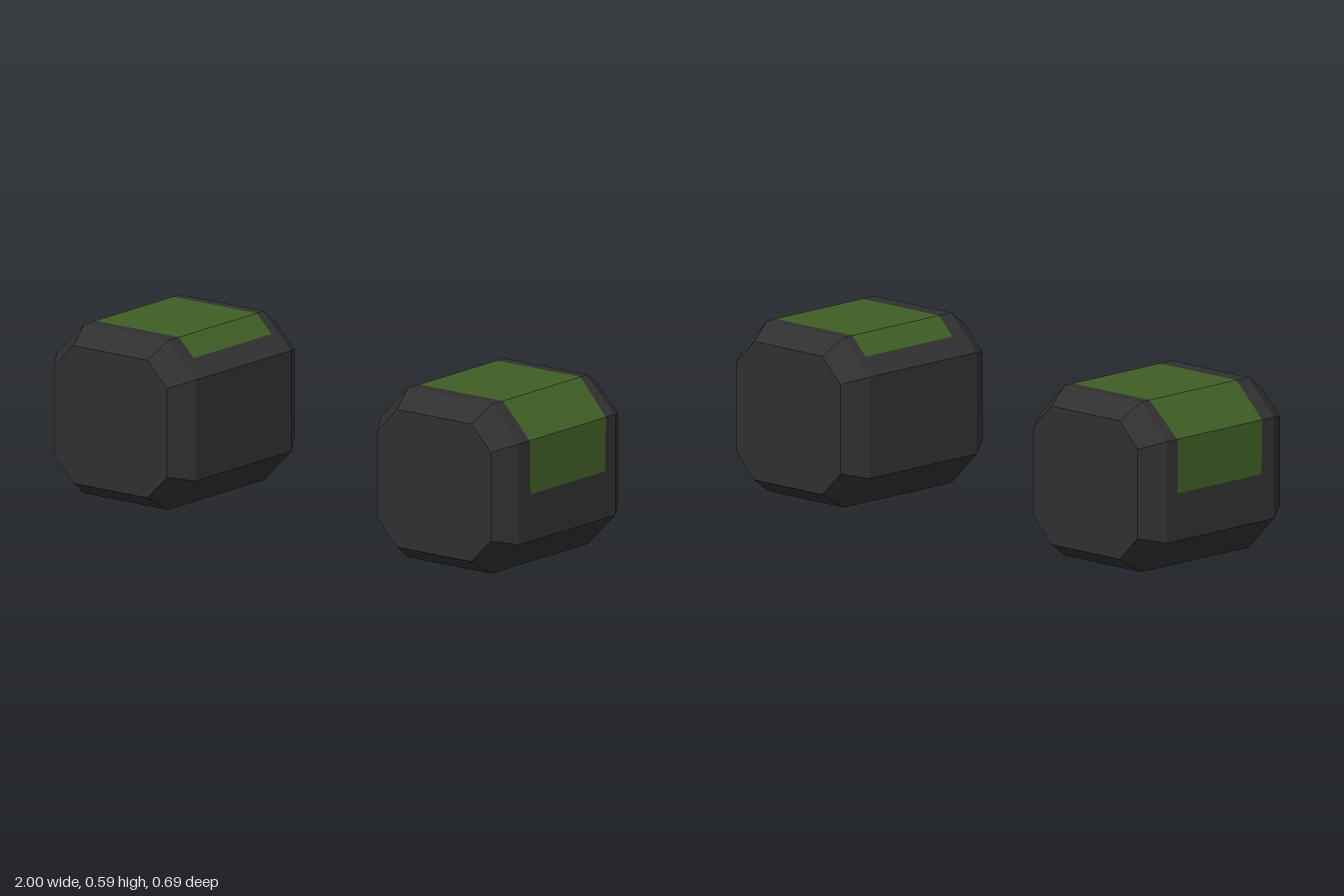
import * as THREE from 'three';

// Ten-point outline of a bevelled block: an octagon plus the two corners where the pad ends.
function outline(hx, hy, c, side) {
  const t = 0.53;
  const pts = [
    [hx, -0.012], [hx, hy - c], [hx - c, hy], [-hx + c, hy],
    [-hx + c - t * c, hy - t * c], [-hx, hy - c], [-hx, -hy + c],
    [-hx + c, -hy], [hx - c, -hy], [hx, -hy + c],
  ];
  return pts.map(([x, y]) => [x * side, y]);
}

// Flat-shaded geometry from a plain list of corners.
function faceted(corners) {
  const g = new THREE.BufferGeometry();
  g.setAttribute('position', new THREE.Float32BufferAttribute(corners.flat(), 3));
  g.computeVertexNormals();
  return g;
}

function buildBlock(side, materials) {
  const mid = outline(0.3, 0.295, 0.119, side);
  const end = outline(0.245, 0.24, 0.085, side);
  // Back edge of the pad flares slightly over the top.
  const padBack = i => (i === 0 ? -0.207 : i === 1 ? -0.209 : i < 5 ? -0.221 : -0.21);
  const padFront = i => (i === 1 ? 0.203 : 0.2);
  const rings = [
    [end, () => -0.345], [mid, () => -0.26], [mid, padBack],
    [mid, padFront], [mid, () => 0.26], [end, () => 0.345],
  ].map(([pts, z]) => pts.map(([x, y], i) => [x, y, z(i)]));

  const shell = [], pad = [];
  const tri = (list, a, b, c) => list.push(...(side > 0 ? [a, b, c] : [a, c, b]));
  const n = mid.length;

  // Walls: the pad covers the middle span over the outer side, top and inner bevel.
  for (let r = 0; r < rings.length - 1; r++) {
    for (let i = 0; i < n; i++) {
      const j = (i + 1) % n;
      const list = r === 2 && i < 4 ? pad : shell;
      const [a, b, c, d] = [rings[r][i], rings[r][j], rings[r + 1][j], rings[r + 1][i]];
      tri(list, a, b, c);
      tri(list, a, c, d);
    }
  }
  // Flat end faces.
  const back = rings[0], front = rings[rings.length - 1];
  for (let i = 1; i < n - 1; i++) {
    tri(shell, front[0], front[i], front[i + 1]);
    tri(shell, back[0], back[i + 1], back[i]);
  }

  const block = new THREE.Group();
  block.name = side > 0 ? 'leftBlock' : 'rightBlock';
  for (const [name, corners, material] of [
    ['shell', shell, materials.dark], ['topPad', pad, materials.green],
  ]) {
    const mesh = new THREE.Mesh(faceted(corners), material);
    mesh.name = name;
    block.add(mesh);
  }
  block.position.set(0.7 * side, 0.295, 0);
  return block;
}

export function createModel() {
  const materials = {
    dark: new THREE.MeshStandardMaterial({ color: 0x303030 }),
    green: new THREE.MeshStandardMaterial({ color: 0x3f5e25 }),
  };
  materials.dark.name = 'charcoal';
  materials.green.name = 'mossGreen';

  const model = new THREE.Group();
  model.name = 'blockPair';
  for (const side of [1, -1]) model.add(buildBlock(side, materials));
  return model;
}
